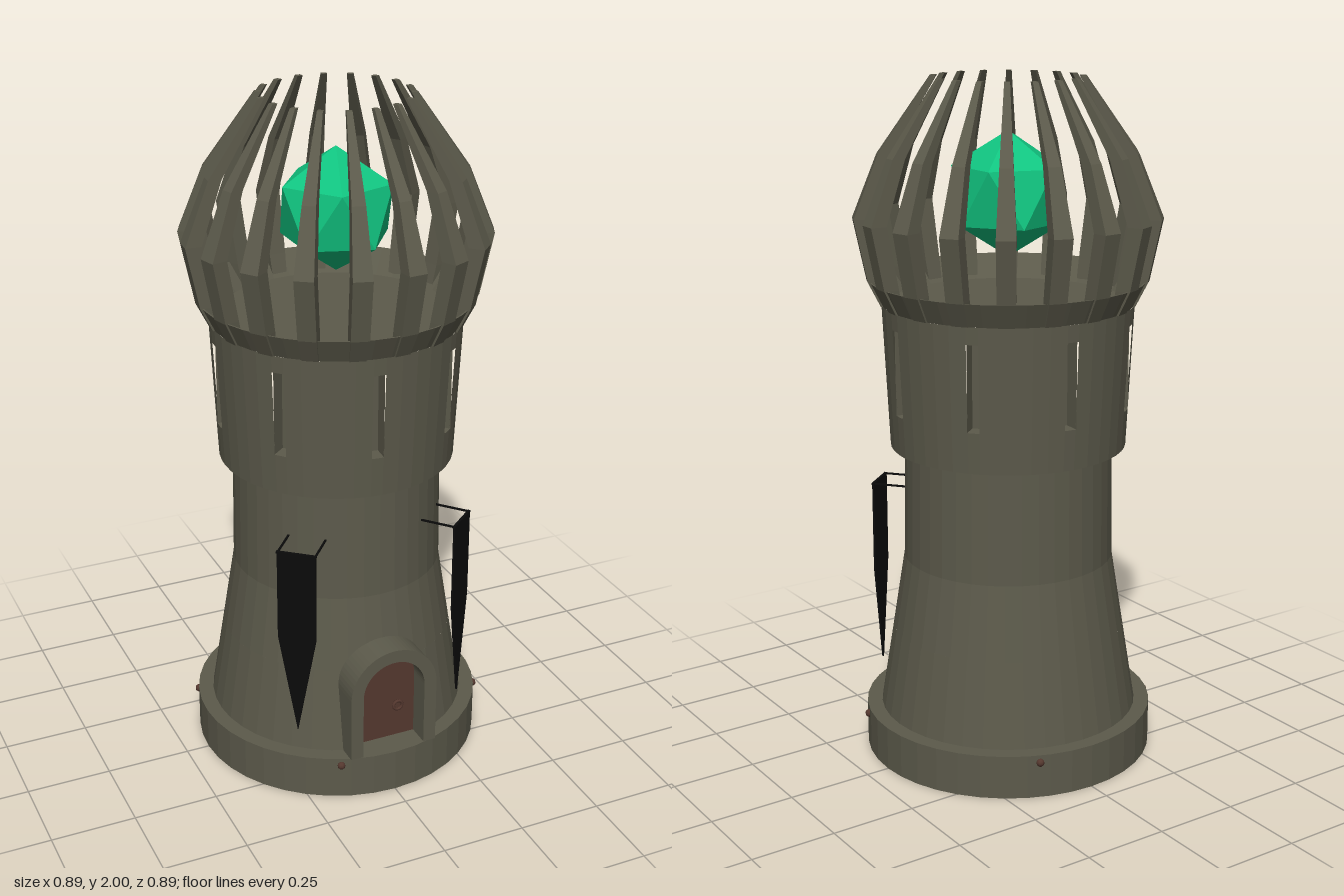
import * as THREE from 'three';

const material = (name, color, side = THREE.FrontSide) => {
  const m = new THREE.MeshStandardMaterial({ color, side });
  m.name = name;
  return m;
};
const rad = THREE.MathUtils.degToRad;

// Faceted copy of a geometry
function flat(geometry) {
  const g = geometry.index ? geometry.toNonIndexed() : geometry;
  g.computeVertexNormals();
  return g;
}

function add(parent, name, geometry, mat, x = 0, y = 0, z = 0) {
  const mesh = new THREE.Mesh(geometry, mat);
  mesh.name = name;
  mesh.position.set(x, y, z);
  parent.add(mesh);
  return mesh;
}

// Surface of revolution, profile listed from bottom to top
function lathe(profile, segments = 40, start = 0, length = 360) {
  const points = profile.map(([r, y]) => new THREE.Vector2(r, y));
  return flat(new THREE.LatheGeometry(points, segments, rad(start), rad(length)));
}

// Round-topped outline standing on y = 0
function arch(Type, half, spring) {
  const p = new Type();
  p.moveTo(-half, 0);
  p.lineTo(half, 0);
  p.lineTo(half, spring);
  p.absarc(0, spring, half, 0, Math.PI, false);
  p.lineTo(-half, 0);
  return p;
}

// Curved claw lofted through rectangles: [y, outer radius, inner radius, width]
function ribGeometry() {
  const sections = [
    [1.36, 0.37, 0.345, 0.046], [1.43, 0.405, 0.36, 0.052], [1.61, 0.442, 0.395, 0.055],
    [1.79, 0.37, 0.332, 0.038], [2.0, 0.222, 0.205, 0.016],
  ];
  const pos = [], index = [];
  sections.forEach(([y, ro, ri, w], s) => {
    pos.push(-w / 2, y, ro, w / 2, y, ro, w / 2, y, ri, -w / 2, y, ri);
    if (s === 0) return;
    for (let k = 0; k < 4; k++) {
      const a = (s - 1) * 4 + k, b = (s - 1) * 4 + (k + 1) % 4;
      index.push(a, b, b + 4, a, b + 4, a + 4);
    }
  });
  const t = (sections.length - 1) * 4;
  index.push(0, 2, 1, 0, 3, 2, t, t + 1, t + 2, t, t + 2, t + 3);
  const g = new THREE.BufferGeometry();
  g.setAttribute('position', new THREE.Float32BufferAttribute(pos, 3));
  g.setIndex(index);
  return flat(g);
}

export function createModel() {
  const stone = material('stone', 0x5c5a4b);
  const wood = material('doorWood', 0x55382f);
  const crystal = material('crystal', 0x11c480);
  const cloth = material('blackCloth', 0x0b0b0b, THREE.DoubleSide);
  const model = new THREE.Group();
  model.name = 'tower';

  // Plinth and shaft; the lower wall is open behind the door
  add(model, 'base', lathe([[0, 0], [0.43, 0], [0.43, 0.13], [0, 0.13]]), stone);
  add(model, 'lowerWall', lathe([[0.385, 0.13], [0.345, 0.38]], 36, 17, 326), stone);
  add(model, 'shaft', lathe([[0.345, 0.38], [0.31, 0.6], [0.305, 0.94], [0.345, 0.94]]), stone);

  // Upper drum with eight slit niches
  const bottom = 0.94, top = 1.36, slitLow = 1.06, slitHigh = 1.31, slitAngle = 5.6;
  const drumRadius = (y) => 0.345 + 0.02 * (y - bottom) / (top - bottom);
  const wallPiece = (y0, y1, start, length, segments) =>
    lathe([[drumRadius(y0), y0], [drumRadius(y1), y1]], segments, start, length);
  const niche = new THREE.BoxGeometry(0.035, slitHigh - slitLow, 0.05);
  niche.scale(-1, -1, -1); // faces turned inward
  const drum = new THREE.Group();
  drum.name = 'drum';
  model.add(drum);
  for (let i = 0; i < 8; i++) {
    const angle = -5 + i * 45;
    add(drum, 'drumWall', wallPiece(bottom, top, angle + slitAngle / 2, 45 - slitAngle, 5), stone);
    add(drum, 'slitSill', wallPiece(bottom, slitLow, angle - slitAngle / 2, slitAngle, 1), stone);
    add(drum, 'slitLintel', wallPiece(slitHigh, top, angle - slitAngle / 2, slitAngle, 1), stone);
    const r = 0.329, a = rad(angle);
    add(drum, 'slitNiche', niche, stone, r * Math.sin(a), (slitLow + slitHigh) / 2, r * Math.cos(a))
      .rotation.y = a;
  }

  // Shallow bowl and the crown of claws around it
  add(model, 'bowl', lathe([[0.365, 1.36], [0.4, 1.43], [0.395, 1.43], [0.34, 1.362], [0, 1.362]]), stone);
  const rib = ribGeometry();
  const crown = new THREE.Group();
  crown.name = 'crown';
  model.add(crown);
  for (let i = 0; i < 18; i++) add(crown, 'claw', rib, stone).rotation.y = rad(5 + i * 20);

  // Floating gem, one corner straight up
  const gem = new THREE.IcosahedronGeometry(0.18, 0);
  gem.rotateZ(Math.atan(2 / (1 + Math.sqrt(5))));
  add(model, 'gem', flat(gem), crystal, 0, 1.67, 0);

  // Door surround, recessed door and ring handle
  const surround = arch(THREE.Shape, 0.137, 0.2);
  surround.holes.push(arch(THREE.Path, 0.098, 0.2));
  add(model, 'doorFrame',
    new THREE.ExtrudeGeometry(surround, { depth: 0.115, bevelEnabled: false, curveSegments: 16 }),
    stone, 0, 0.13, 0.3);
  add(model, 'door', new THREE.ShapeGeometry(arch(THREE.Shape, 0.099, 0.2), 16), wood, 0, 0.13, 0.347);
  add(model, 'doorRing', new THREE.TorusGeometry(0.014, 0.005, 6, 14), wood, 0.043, 0.235, 0.352);

  // Small studs around the plinth
  for (let i = 0; i < 4; i++) {
    const a = rad(-22 + i * 90);
    add(model, 'baseStud', new THREE.SphereGeometry(0.012, 8, 6), wood,
      0.43 * Math.sin(a), 0.108, 0.43 * Math.cos(a));
  }

  // Pointed banners, each hung from two thin rods
  const pennant = new THREE.Shape();
  [[-0.057, 0], [-0.057, -0.27], [0, -0.58], [0.057, -0.27], [0.057, 0]]
    .forEach(([x, y], i) => (i ? pennant.lineTo(x, y) : pennant.moveTo(x, y)));
  const clothGeometry = new THREE.ExtrudeGeometry(pennant, { depth: 0.006, bevelEnabled: false });
  for (const side of [-1, 1]) {
    const banner = new THREE.Group();
    banner.name = side > 0 ? 'leftBanner' : 'rightBanner';
    banner.rotation.y = rad(40 * side);
    add(banner, 'bannerCloth', clothGeometry, cloth, 0, 0.788, 0.402);
    add(banner, 'bannerBar', new THREE.BoxGeometry(0.118, 0.006, 0.008), cloth, 0, 0.789, 0.405);
    for (const x of [-0.055, 0.055]) {
      add(banner, 'bannerRod', new THREE.BoxGeometry(0.005, 0.005, 0.12), cloth, x, 0.789, 0.347);
    }
    model.add(banner);
  }
  return model;
}
